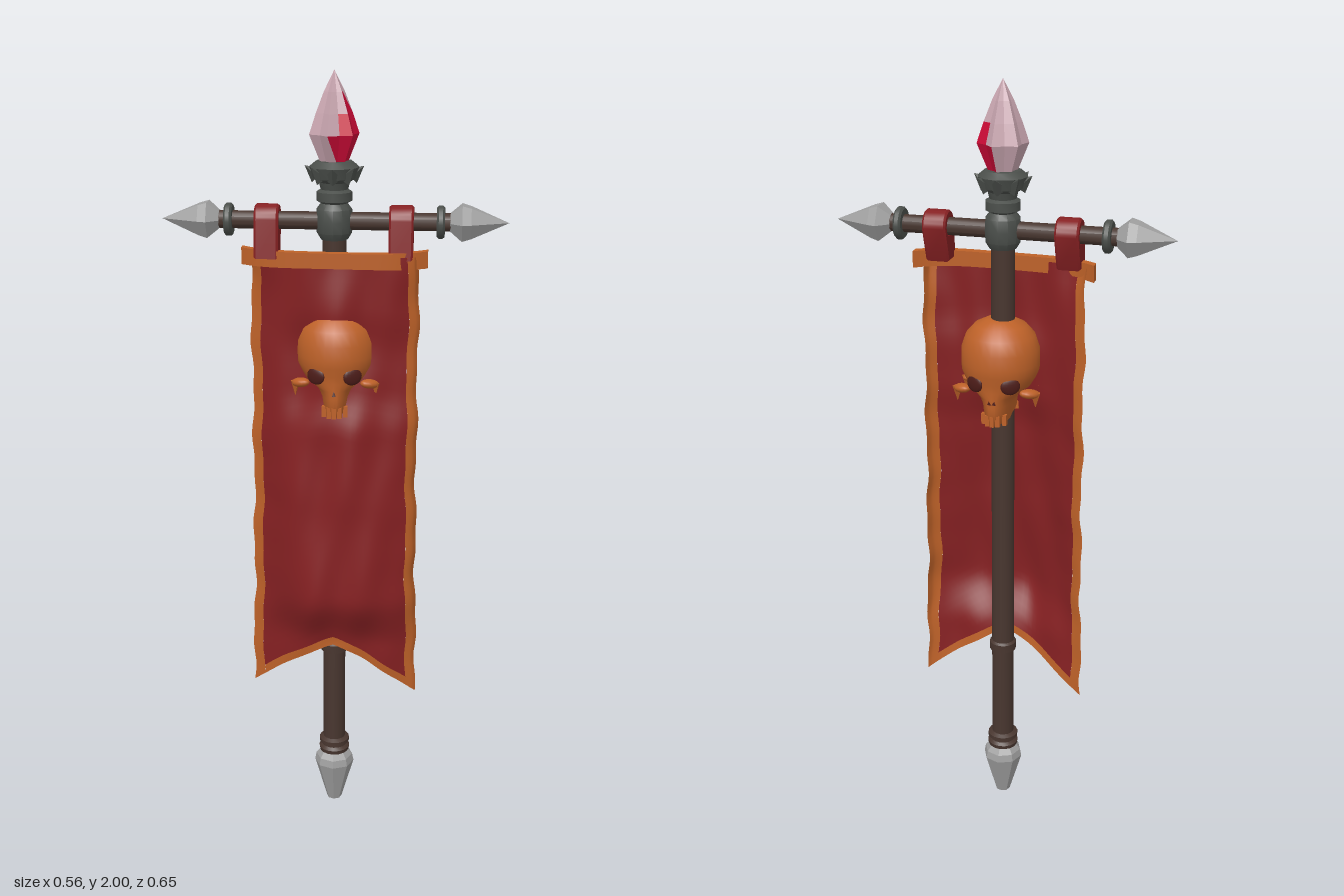
import * as THREE from 'three';
import { toCreasedNormals } from 'three/addons/utils/BufferGeometryUtils.js';

const mat = (name, color, side = THREE.FrontSide) => {
  const m = new THREE.MeshStandardMaterial({ color, side });
  m.name = name;
  return m;
};

export function createModel() {
  const M = {
    cloth: mat('red cloth', 0x852022, THREE.DoubleSide),
    copper: mat('orange copper', 0xbd6128, THREE.DoubleSide),
    wood: mat('dark wood', 0x48362f),
    iron: mat('dark iron', 0x4b4f4b),
    steel: mat('light steel', 0xa0a0a0),
    pale: mat('pale crystal', 0xc8a5af),
    ruby: mat('ruby crystal', 0xcc0a36),
    socket: mat('dark socket', 0x4c1c18),
  };
  const group = new THREE.Group();
  group.name = 'bannerStandard';
  // Banner hangs diagonally: local x runs along the crossbar, local z is the cloth side
  const banner = new THREE.Group();
  banner.name = 'banner';
  banner.rotation.y = -0.859;
  group.add(banner);

  const add = (name, geo, material, x = 0, y = 0, z = 0, parent = banner) => {
    const m = new THREE.Mesh(geo, material);
    m.name = name;
    m.position.set(x, y, z);
    parent.add(m);
    return m;
  };
  const lathe = (pts, seg) => new THREE.LatheGeometry(pts.map(p => new THREE.Vector2(...p)), seg);
  const flat = g => {
    const f = g.toNonIndexed();
    f.computeVertexNormals();
    return f;
  };
  const creased = g => toCreasedNormals(g, 0.6);

  // Pole, collars and foot spike
  add('pole', creased(new THREE.CylinderGeometry(0.03, 0.03, 1.46, 16)), M.wood, 0, 0.88);
  add('lowerCollar', creased(lathe([[0.03, 0.15], [0.04, 0.157], [0.042, 0.168], [0.034, 0.175],
    [0.034, 0.18], [0.041, 0.184], [0.041, 0.194], [0.03, 0.2]], 16)), M.wood);
  add('poleRing', creased(lathe([[0.03, 0.465], [0.036, 0.468], [0.036, 0.49], [0.03, 0.495]], 16)), M.wood);
  add('footSpike', flat(lathe([[0, 0], [0.02, 0.002], [0.054, 0.12], [0.05, 0.14], [0.036, 0.158], [0, 0.158]], 8)), M.steel);

  // Iron joint and crown holding the crystal
  add('ironCrown', creased(lathe([[0, 1.595], [0.034, 1.595], [0.044, 1.612], [0.046, 1.64], [0.044, 1.67],
    [0.033, 1.684], [0.044, 1.69], [0.044, 1.712], [0.034, 1.718], [0.038, 1.735], [0.054, 1.745],
    [0.062, 1.772], [0.045, 1.786], [0, 1.786]], 12)), M.iron);
  for (let i = 0; i < 8; i++) {
    const a = i * Math.PI / 4;
    const spike = new THREE.ConeGeometry(0.022, 0.04, 4);
    spike.rotateX(0.9);
    spike.rotateY(a);
    add('crownSpike', flat(spike), M.iron, Math.sin(a) * 0.057, 1.762, Math.cos(a) * 0.057);
  }

  // Ridged star-shaped crystal; facets on one side are ruby up to a pointed top
  const gemRows = [[0.034, 1.78], [0.063, 1.85], [0.046, 1.9], [0.026, 1.95], [0, 2]];
  const star = lathe(gemRows, 12);
  const gp = star.attributes.position;
  for (let i = 0; i < gp.count; i++) {
    const k = Math.floor(i / gemRows.length) % 2 ? 0.78 : 1;
    gp.setX(i, gp.getX(i) * k);
    gp.setZ(i, gp.getZ(i) * k);
  }
  const gem = flat(star);
  const fp = gem.attributes.position;
  for (let i = 0; i < fp.count; i += 3) {
    const mean = axis => (fp[axis](i) + fp[axis](i + 1) + fp[axis](i + 2)) / 3;
    const off = Math.abs(Math.atan2(mean('getX'), mean('getZ')) - Math.PI / 6);
    gem.addGroup(i, 3, off < 1.4 && mean('getY') < 1.95 - 0.07 * off ? 1 : 0);
  }
  add('crystal', gem, [M.pale, M.ruby], 0, 0, 0, group);

  // Crossbar
  const bar = new THREE.CylinderGeometry(0.022, 0.022, 0.62, 14);
  bar.rotateZ(Math.PI / 2);
  add('crossbar', creased(bar), M.wood, 0, 1.64);

  // Cloth loop: rounded strap with a hole, hanging down to the top band
  const strap = new THREE.Shape();
  strap.absarc(0, 0, 0.036, 0, Math.PI, false);
  strap.lineTo(-0.045, -0.085);
  strap.lineTo(0.005, -0.085);
  strap.closePath();
  const hole = new THREE.Path();
  hole.absarc(0, 0, 0.024, 0, Math.PI * 2, true);
  strap.holes.push(hole);
  const loopGeo = new THREE.ExtrudeGeometry(strap, {
    depth: 0.05, bevelEnabled: true, bevelSize: 0.004, bevelThickness: 0.005, bevelSegments: 1, curveSegments: 10,
  });
  loopGeo.translate(0, 0, -0.025);
  loopGeo.rotateY(Math.PI / 2);

  for (const s of [-1, 1]) {
    const ring = creased(lathe([[0.02, -0.01], [0.036, -0.01], [0.041, -0.005], [0.041, 0.005],
      [0.036, 0.01], [0.02, 0.01]], 16));
    ring.rotateZ(-s * Math.PI / 2);
    add('barRing', ring, M.iron, s * 0.262, 1.64);
    const tip = flat(lathe([[0, 0.283], [0.024, 0.285], [0.05, 0.314], [0.043, 0.336], [0, 0.429]], 6));
    tip.rotateZ(-s * Math.PI / 2);
    add('barSpike', tip, M.steel, 0, 1.64);
    add('clothLoop', creased(loopGeo), M.cloth, s * 0.166, 1.64);
  }

  // Cloth surface: s runs across (-1..1), t runs down (0..1)
  const bulge = [[1.56, 0.044], [1.42, 0.052], [1.33, 0.042], [1.22, 0.05], [1.1, 0.072], [0.9, 0.084],
    [0.65, 0.097], [0.5, 0.043], [0.3, 0.02]];
  const bulgeAt = y => {
    let i = 0;
    while (i < bulge.length - 2 && y < bulge[i + 1][0]) i++;
    const [[y0, w0], [y1, w1]] = [bulge[i], bulge[i + 1]];
    return THREE.MathUtils.lerp(w0, w1, THREE.MathUtils.smoothstep((y0 - y) / (y0 - y1), 0, 1));
  };
  const clothPoint = (s, t) => {
    const y = THREE.MathUtils.lerp(1.56, 0.5 - 0.143 * Math.pow(Math.abs(s), 1.2), t);
    const open = Math.max(0, 1 - s * s);
    const power = (0.95 - 0.45 * s) * (1 - 0.7 * THREE.MathUtils.smoothstep(y, 1.42, 1.56));
    const fold = 0.006 * Math.sin(s * 7 + y * 6) + 0.004 * Math.sin(s * 11 - y * 13);
    const ragged = 0.003 * Math.sin(y * 23 + s) + 0.002 * Math.sin(y * 51);
    const x = s * (0.212 + 0.012 * t * t * t) + ragged * s * s;
    return [x, y, bulgeAt(y) * Math.pow(open, power) + fold * open + 0.015 * s];
  };
  const clothPatch = (name, material, s0, s1, t0, t1, ns, nt) => {
    const g = new THREE.PlaneGeometry(1, 1, ns, nt);
    const p = g.attributes.position;
    for (let i = 0; i < p.count; i++) {
      const s = s0 + (s1 - s0) * (p.getX(i) + 0.5);
      const t = t0 + (t1 - t0) * (0.5 - p.getY(i));
      p.setXYZ(i, ...clothPoint(s, t));
    }
    g.computeVertexNormals();
    add(name, g, material);
  };
  clothPatch('clothPanel', M.cloth, -0.88, 0.88, 0, 0.978, 32, 50);
  clothPatch('leftTrim', M.copper, 0.88, 1, 0, 1, 5, 60);
  clothPatch('rightTrim', M.copper, -1, -0.88, 0, 1, 5, 60);
  clothPatch('bottomTrim', M.copper, -0.88, 0.88, 0.978, 1, 32, 2);

  // Bowed top band, nearly straight between its ends
  const band = new THREE.BoxGeometry(0.465, 0.038, 0.024, 20, 1, 1);
  const bp = band.attributes.position;
  for (let i = 0; i < bp.count; i++) {
    const s = bp.getX(i) / 0.2325;
    bp.setZ(i, bp.getZ(i) + 0.046 * (1 - Math.pow(s, 4)) + 0.008 * s);
    bp.setY(i, bp.getY(i) * (1 + 0.12 * s * s));
  }
  add('topBand', creased(band), M.copper, 0, 1.55);

  // Double-faced skull lofted from elliptical sections: height, half width, half depth
  const skull = new THREE.Group();
  skull.name = 'skull';
  skull.position.x = 0.006;
  banner.add(skull);
  const sections = [[1.155, 0, 0], [1.156, 0.03, 0.078], [1.175, 0.036, 0.088], [1.205, 0.04, 0.09],
    [1.225, 0.05, 0.09], [1.245, 0.078, 0.09], [1.265, 0.09, 0.091], [1.285, 0.099, 0.096],
    [1.305, 0.1, 0.097], [1.34, 0.1, 0.094], [1.375, 0.088, 0.083], [1.4, 0.066, 0.063],
    [1.415, 0.036, 0.034], [1.42, 0, 0]];
  const cranium = lathe(sections.map(r => [1, r[0]]), 28);
  const sp = cranium.attributes.position;
  for (let i = 0; i < sp.count; i++) {
    const [, hw, hd] = sections[i % sections.length];
    sp.setX(i, sp.getX(i) * hw);
    sp.setZ(i, sp.getZ(i) * hd);
  }
  add('cranium', toCreasedNormals(cranium, 0.9), M.copper, 0, 0, 0, skull);

  const ball = new THREE.SphereGeometry(1, 14, 10);
  for (const f of [-1, 1]) {
    for (const s of [-1, 1]) {
      const eye = add('eyeSocket', ball, M.socket, s * 0.046, 1.264, f * 0.079, skull);
      eye.scale.set(0.025, 0.022, 0.007);
      eye.rotation.y = s * f * 0.45;
      const cheek = add('cheekbone', ball, M.copper, s * 0.088, 1.238, f * 0.048, skull);
      cheek.scale.set(0.028, 0.012, 0.018);
      cheek.rotation.set(0, s * f * 0.7, -s * 0.15);
      add('cheekSpur', flat(new THREE.ConeGeometry(0.013, 0.04, 5).rotateX(Math.PI)), M.copper,
        s * 0.102, 1.22, f * 0.042, skull);
    }
    const nose = add('noseOpening', new THREE.ConeGeometry(0.013, 0.028, 3), M.socket, 0, 1.228, f * 0.086, skull);
    nose.scale.z = 0.6;
    // Upper teeth
    for (let i = -2; i <= 2; i++) {
      add('tooth', new THREE.BoxGeometry(0.011, 0.028, 0.012), M.copper,
        i * 0.0135, 1.168, f * (0.083 - 0.005 * i * i), skull);
    }
  }
  return group;
}
